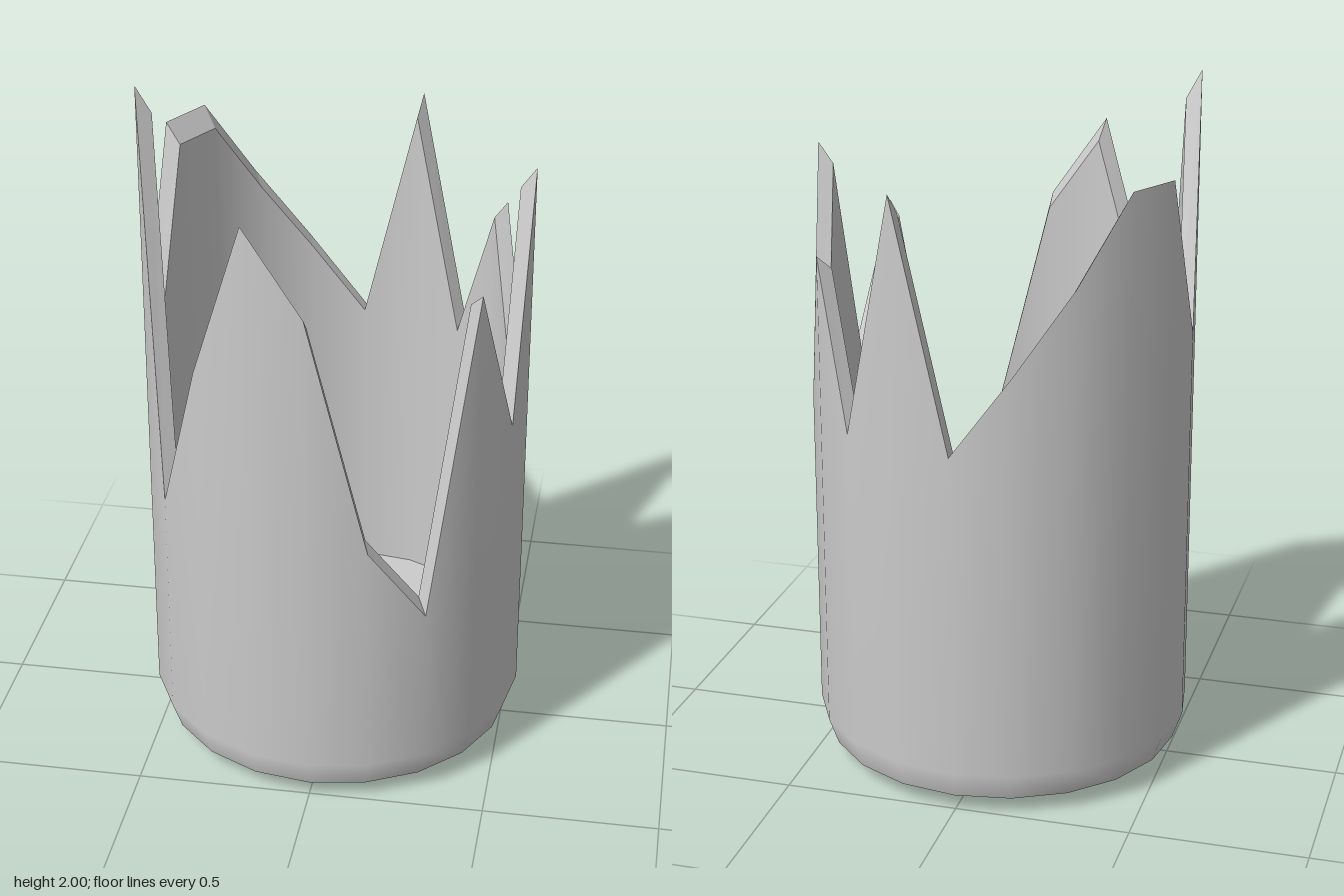
import * as THREE from 'three';

const SIDES = 20;
const R_OUT = 0.543, R_IN = 0.5, FLOOR = 0.21;

// Height of the broken rim at each corner, from the front (+z) round through +x
const RIM = [1.53, 0.83, 0.6, 1.53, 1.07, 1.77, 1.07, 1.53, 1.07, 1.77,
  1.07, 1.3, 1.53, 1.77, 1.77, 1.3, 2.0, 0.83, 1.3, 1.77];
const outerTop = (i) => RIM[i % SIDES];
const innerTop = (i) => 1.07 + 0.915 * (RIM[i % SIDES] - 1.07);

// Lathe a profile, then move chosen profile points to a height that varies round the rim
function ring(profile, tops = {}) {
  const geo = new THREE.LatheGeometry(profile.map(([r, y]) => new THREE.Vector2(r, y)), SIDES);
  const pos = geo.attributes.position;
  for (const [j, height] of Object.entries(tops)) {
    for (let i = 0; i <= SIDES; i++) pos.setY(i * profile.length + Number(j), height(i));
  }
  return geo;
}

export function createModel() {
  const group = new THREE.Group();
  const material = new THREE.MeshStandardMaterial({ color: 0xcccccc });
  const add = (name, geometry) => {
    const mesh = new THREE.Mesh(geometry, material);
    mesh.name = name;
    group.add(mesh);
  };

  // Slightly domed underside
  add('underside', ring([[0, 0], [0.2, 0], [0.44, 0.01], [0.515, 0.05]]));

  // Outer wall with a rounded foot and jagged top
  add('outerWall', ring([[0.515, 0.05], [R_OUT, 0.13], [R_OUT, 1]], { 2: outerTop }));

  // Faceted broken edge joining the outer and inner walls
  const rim = ring([[R_OUT, 1], [R_IN, 1]], { 0: outerTop, 1: innerTop }).toNonIndexed();
  rim.computeVertexNormals();
  add('brokenRim', rim);

  // Inside wall and floor
  add('innerWall', ring([[R_IN, 1], [R_IN, FLOOR]], { 0: innerTop }));
  add('innerFloor', ring([[R_IN, FLOOR], [0, FLOOR]]));

  return group;
}
